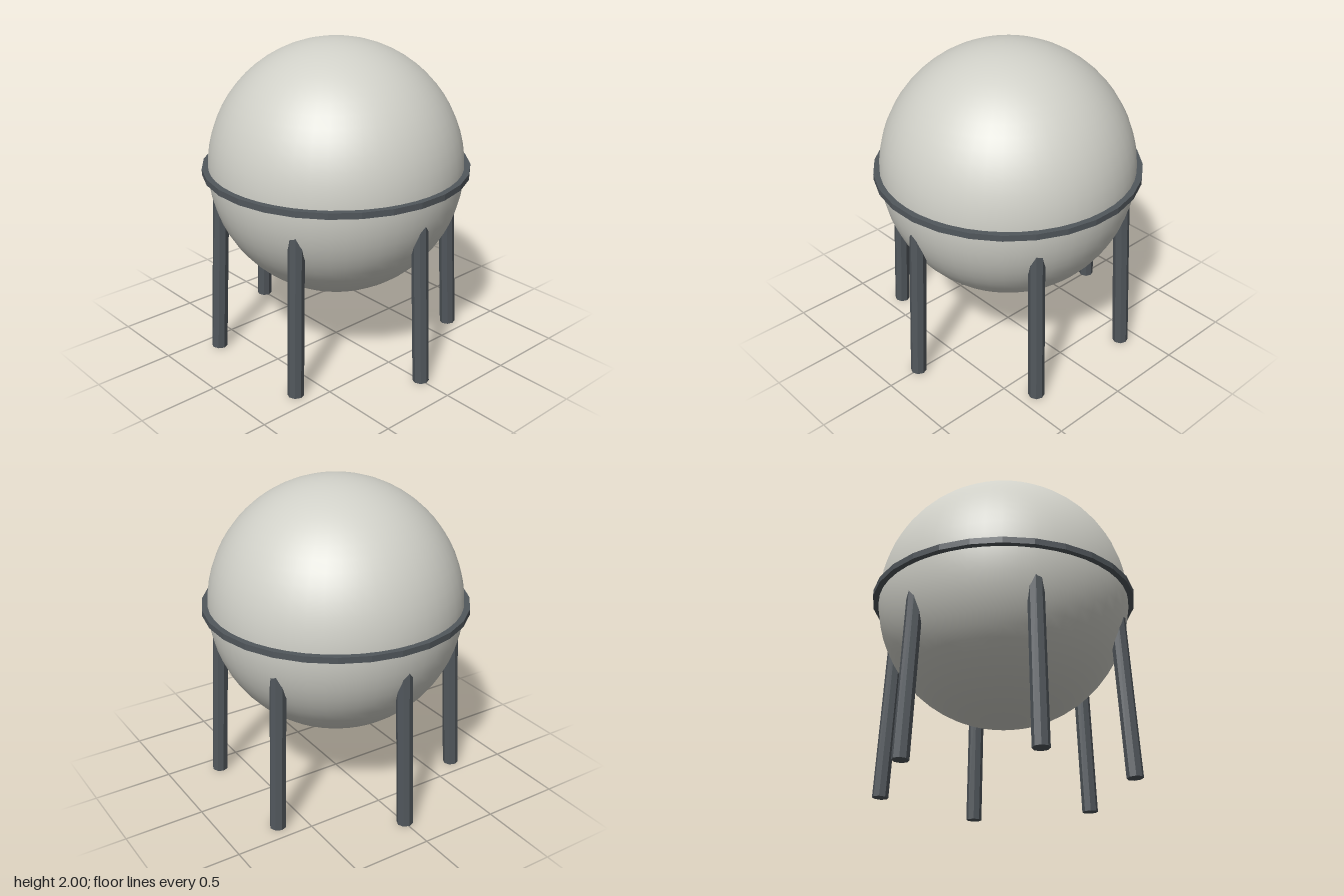
import * as THREE from 'three';

export function createModel() {
  const model = new THREE.Group();
  model.name = 'sphericalTank';
  const shell = new THREE.MeshStandardMaterial({ color: 0xd0d0c8 });
  shell.name = 'paleShell';
  const steel = new THREE.MeshStandardMaterial({ color: 0x51575c, flatShading: true });
  steel.name = 'darkSteel';

  const R = 0.795, CY = 1.205;
  const add = (name, geometry, material) => {
    const mesh = new THREE.Mesh(geometry, material);
    mesh.name = name;
    model.add(mesh);
    return mesh;
  };

  // Storage sphere
  add('tank', new THREE.SphereGeometry(R, 48, 32), shell).position.y = CY;

  // Flat equator band, a closed rectangular section
  const section = [[0.775, -0.019], [0.833, -0.019], [0.833, 0.019], [0.775, 0.019], [0.775, -0.019]];
  const band = add('equatorBand',
    new THREE.LatheGeometry(section.map(([x, y]) => new THREE.Vector2(x, y)), 28), steel);
  band.position.y = CY;
  band.rotation.y = Math.PI / 28;

  // Six octagonal legs leaning in towards the sphere
  const up = new THREE.Vector3(0, 1, 0);
  for (let i = 0; i < 6; i++) {
    const a = (i * Math.PI) / 3;
    const at = (r, y) => new THREE.Vector3(r * Math.cos(a), y, r * Math.sin(a));
    const foot = at(0.779, 0.003), head = at(0.716, CY);
    const axis = head.clone().sub(foot);
    const leg = add(`leg${i + 1}`, new THREE.CylinderGeometry(0.05, 0.05, axis.length(), 8), steel);
    leg.position.copy(foot).add(head).multiplyScalar(0.5);
    leg.quaternion.setFromUnitVectors(up, axis.normalize());
  }
  return model;
}
